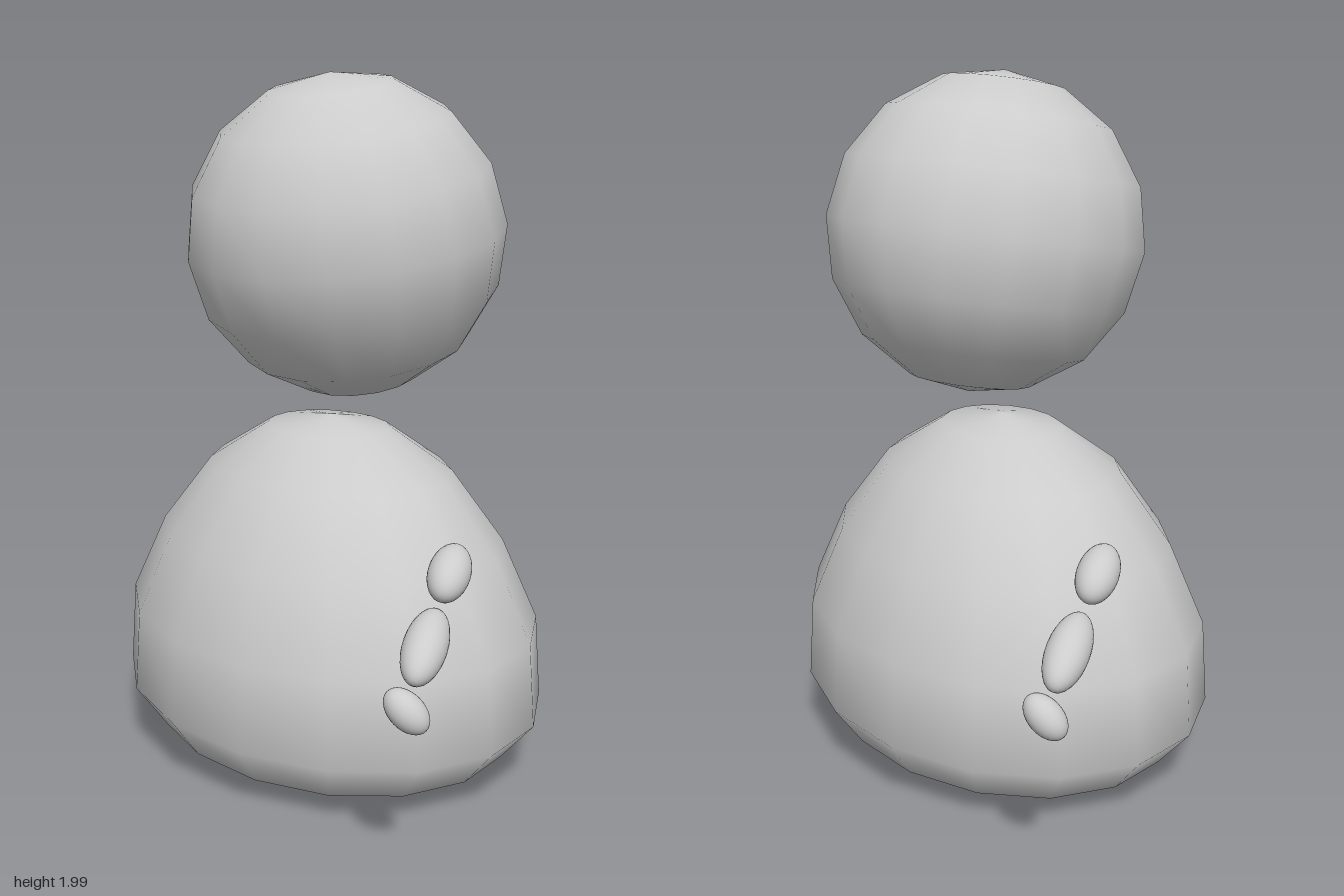
import * as THREE from 'three';

const material = new THREE.MeshStandardMaterial({ color: 0xcccccc });

function addPart(parent, name, geometry) {
  const mesh = new THREE.Mesh(geometry, material);
  mesh.name = name;
  parent.add(mesh);
  return mesh;
}

// Ellipsoid stretched along a given direction
function addBead(parent, name, center, direction, radius, halfLength) {
  const bead = addPart(parent, name, new THREE.SphereGeometry(1, 32, 16));
  bead.scale.set(radius, halfLength, radius);
  bead.quaternion.setFromUnitVectors(
    new THREE.Vector3(0, 1, 0), new THREE.Vector3(...direction).normalize());
  bead.position.set(...center);
}

// Arm of three separate beads
function addArm(parent, name, [upper, fore, hand], handAxis) {
  const arm = new THREE.Group();
  arm.name = name;
  const along = fore.map((v, i) => v - upper[i]);
  addBead(arm, 'upperArm', upper, along, 0.057, 0.098);
  addBead(arm, 'forearm', fore, along, 0.057, 0.125);
  addBead(arm, 'hand', hand, handAxis, 0.044, 0.066);
  parent.add(arm);
}

export function createModel() {
  const model = new THREE.Group();
  model.name = 'figure';

  // Bell-shaped body, deeper than wide
  const profile = [
    [0, 0.005], [0.275, 0.025], [0.485, 0.08], [0.568, 0.2], [0.553, 0.44],
    [0.46, 0.67], [0.325, 0.87], [0.165, 0.988], [0, 1.02],
  ].map(([r, y]) => new THREE.Vector2(r, y));
  const body = addPart(model, 'body', new THREE.LatheGeometry(profile, 16));
  body.scale.z = 1.24;

  // Floating head, slightly tilted
  const head = addPart(model, 'head', new THREE.SphereGeometry(0.458, 16, 8));
  head.position.set(0.025, 1.545, 0.042);
  head.rotation.set(0.055, 0, 0.17);

  // Arms on the front and back slopes
  addArm(model, 'frontArm',
    [[-0.085, 0.715, 0.613], [-0.29, 0.605, 0.747], [-0.443, 0.515, 0.852]],
    [0.39, -0.66, 0.66]);
  addArm(model, 'backArm',
    [[0.065, 0.73, -0.588], [0.26, 0.615, -0.737], [0.405, 0.53, -0.856]],
    [0.39, 0.66, 0.66]);

  return model;
}
